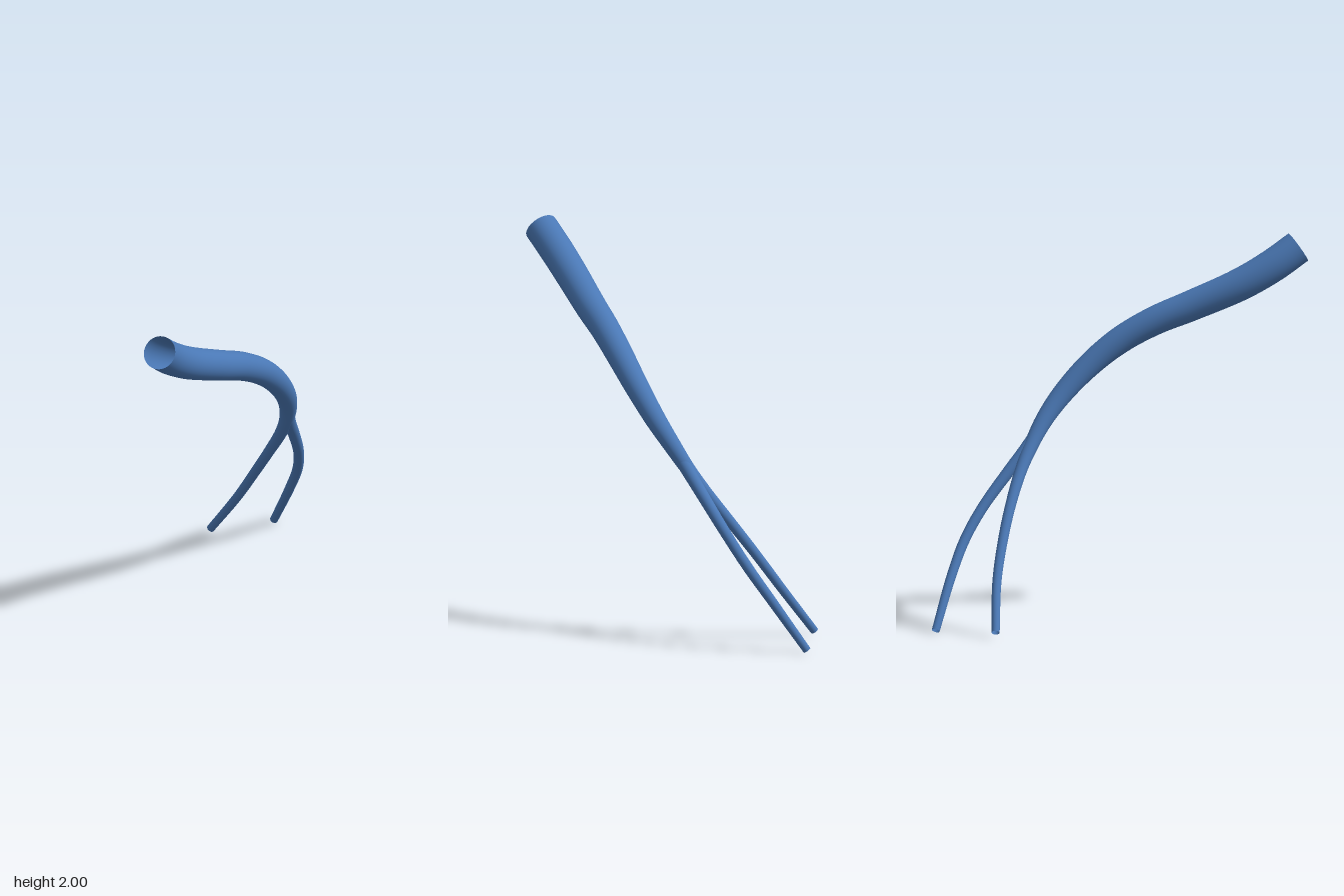
import * as THREE from 'three';

const blue = new THREE.MeshStandardMaterial({ color: 0x4a78b5, side: THREE.DoubleSide });
blue.name = 'blue';

// Open tapered tube; each control point is [x, y, z, radius]
function taperedTube(name, points, segments) {
  const curve = new THREE.CatmullRomCurve3(points.map(([x, y, z]) => new THREE.Vector3(x, y, z)));
  const sides = 32;
  const geometry = new THREE.TubeGeometry(curve, segments, 1, sides, false);
  const pos = geometry.attributes.position;
  const v = new THREE.Vector3();
  for (let i = 0; i <= segments; i++) {
    const u = i / segments;
    const centre = curve.getPointAt(u);
    const t = curve.getUtoTmapping(u) * (points.length - 1);
    const k = Math.min(Math.floor(t), points.length - 2);
    const radius = THREE.MathUtils.lerp(points[k][3], points[k + 1][3], t - k);
    for (let j = 0; j <= sides; j++) {
      const n = i * (sides + 1) + j;
      v.fromBufferAttribute(pos, n).sub(centre).multiplyScalar(radius).add(centre);
      pos.setXYZ(n, v.x, v.y, v.z);
    }
  }
  const mesh = new THREE.Mesh(geometry, blue);
  mesh.name = name;
  return mesh;
}

export function createModel() {
  const group = new THREE.Group();
  group.name = 'branchingTube';

  // Wide trunk running on into the inner branch
  group.add(taperedTube('trunkAndInnerBranch', [
    [-0.527, 1.928, 0.835, 0.088],
    [-0.44, 1.835, 0.73, 0.088],
    [-0.32, 1.74, 0.615, 0.086],
    [-0.115, 1.625, 0.455, 0.081],
    [0.035, 1.545, 0.335, 0.076],
    [0.17, 1.445, 0.22, 0.071],
    [0.28, 1.32, 0.105, 0.064],
    [0.365, 1.17, -0.02, 0.055],
    [0.405, 1.04, -0.125, 0.046],
    [0.417, 0.92, -0.215, 0.038],
    [0.41, 0.8, -0.31, 0.032],
    [0.38, 0.645, -0.43, 0.028],
    [0.335, 0.47, -0.555, 0.026],
    [0.272, 0.27, -0.685, 0.024],
    [0.165, 0.03, -0.83, 0.021],
  ], 110));

  // Outer branch, starting inside the trunk
  group.add(taperedTube('outerBranch', [
    [0.395, 1.06, -0.11, 0.036],
    [0.432, 0.92, -0.215, 0.035],
    [0.485, 0.785, -0.322, 0.031],
    [0.545, 0.61, -0.46, 0.028],
    [0.57, 0.45, -0.58, 0.027],
    [0.558, 0.27, -0.71, 0.025],
    [0.52, 0.013, -0.886, 0.021],
  ], 60));

  return group;
}
